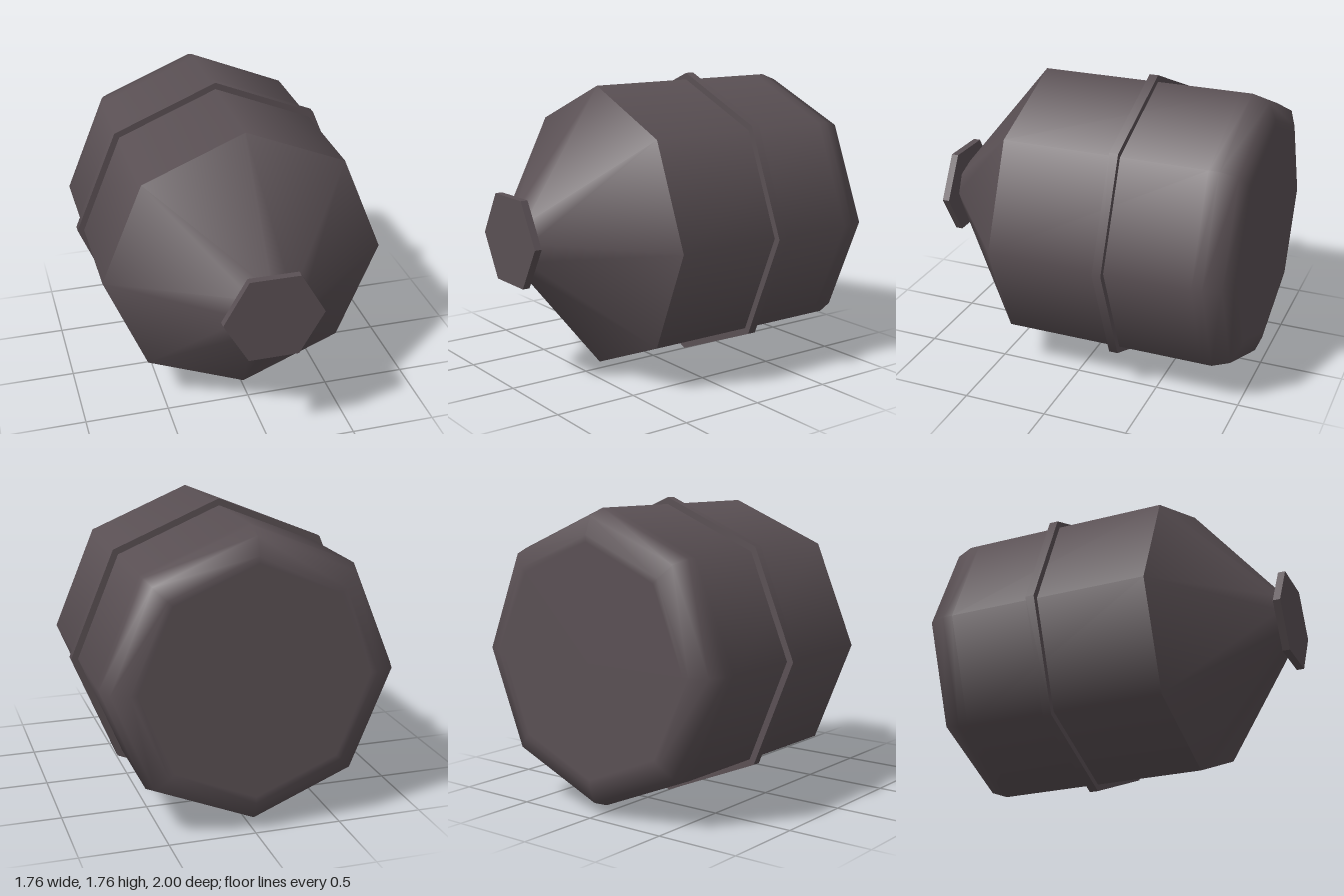
import * as THREE from 'three';
import { toCreasedNormals } from 'three/addons/utils/BufferGeometryUtils.js';

export function createModel() {
  const model = new THREE.Group();
  model.name = 'tank';
  const metal = new THREE.MeshStandardMaterial({ color: 0x5a5054 });
  metal.name = 'dark grey metal';

  // Parts are turned about y, then laid down so that their axis points to +z
  const add = (name, geometry, z = 0) => {
    geometry.rotateX(Math.PI / 2);
    const mesh = new THREE.Mesh(geometry, metal);
    mesh.name = name;
    mesh.position.set(0, 0.88, z);
    model.add(mesh);
  };
  const lathe = (profile) =>
    new THREE.LatheGeometry(profile.map(([r, z]) => new THREE.Vector2(r, z)), 8);

  // Eight-sided drum with a rounded back edge
  add('drum', lathe([[0, -1], [0.66, -1], [0.7, -1], [0.8, -0.96], [0.838, -0.86], [0.838, -0.8], [0.838, 0.4]]));

  // Tapered front
  add('cone', lathe([[0.838, 0.4], [0.155, 0.96]]));

  // Thin band around the drum
  add('band', new THREE.CylinderGeometry(0.878, 0.878, 0.052, 8), -0.274);

  // Hexagonal plate closing the narrow end
  const plate = new THREE.CylinderGeometry(0.29, 0.29, 0.043, 6, 1, false, Math.PI / 2);
  add('endPlate', toCreasedNormals(plate, 0.5), 0.9785);

  return model;
}
